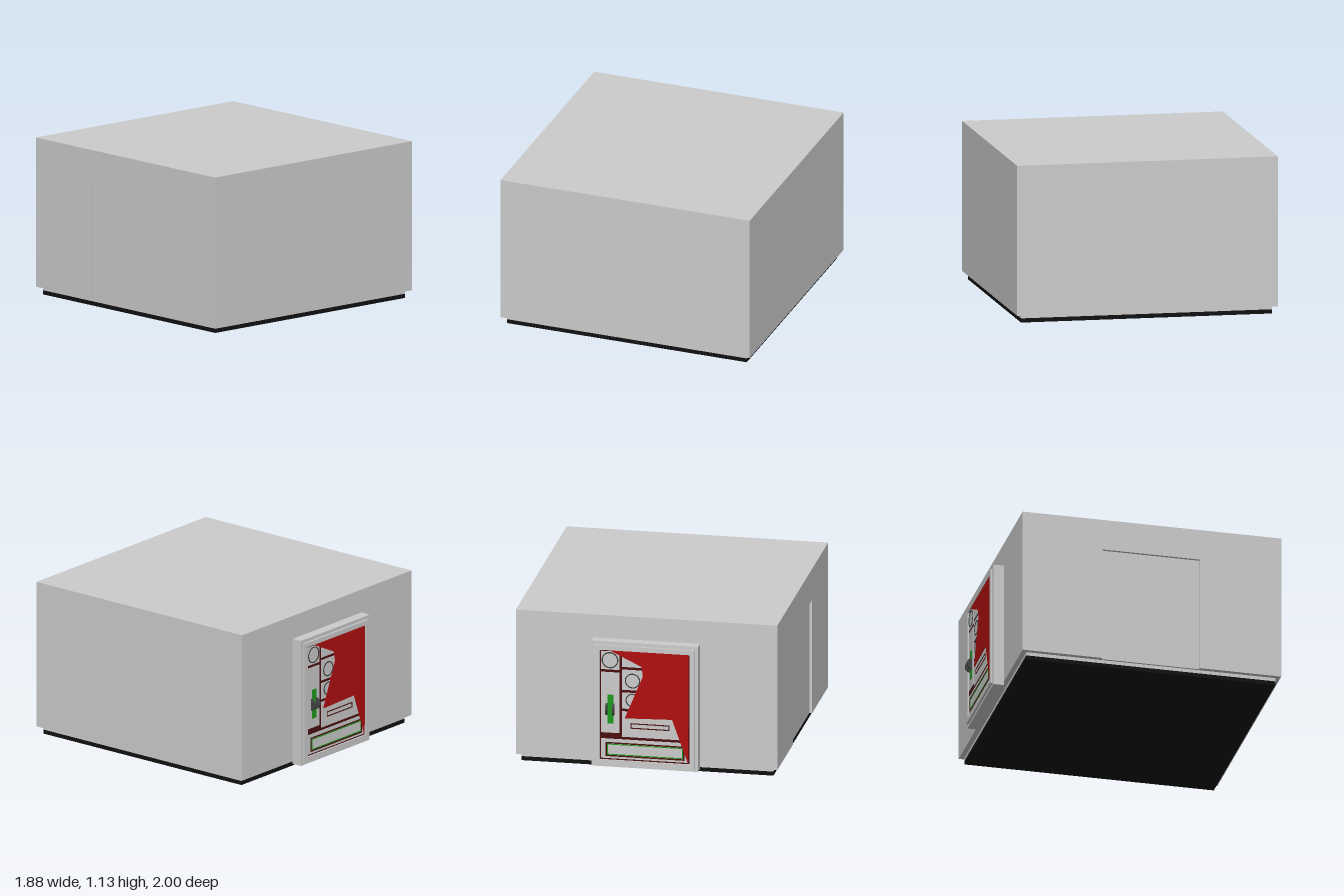
import * as THREE from 'three';

const mat = (color) => new THREE.MeshStandardMaterial({ color });
const grey = mat(0xcccccc), black = mat(0x111111), red = mat(0xb01010);
const maroon = mat(0x4a1010), green = mat(0x1c9a1c), dark = mat(0x444444);

function add(parent, name, geometry, material) {
  const mesh = new THREE.Mesh(geometry, material);
  mesh.name = name;
  parent.add(mesh);
  return mesh;
}

// Box given by its limits on each axis
function box(parent, name, [x0, x1], [y0, y1], [z0, z1], material = grey) {
  const mesh = add(parent, name, new THREE.BoxGeometry(x1 - x0, y1 - y0, z1 - z0), material);
  mesh.position.set((x0 + x1) / 2, (y0 + y1) / 2, (z0 + z1) / 2);
  return mesh;
}

const polygon = (pts) => new THREE.Shape(pts.map(([x, y]) => new THREE.Vector2(x, y)));
const rect = (x0, x1, y0, y1) => polygon([[x0, y0], [x1, y0], [x1, y1], [x0, y1]]);

// Flat plate between two depths
function plate(parent, name, shape, z0, z1, material = grey) {
  const geometry = new THREE.ExtrudeGeometry(shape, { depth: z1 - z0, bevelEnabled: false, curveSegments: 24 });
  const mesh = add(parent, name, geometry, material);
  mesh.position.z = z0;
  return mesh;
}

function border(parent, name, [x0, x1], [y0, y1], width, z0, z1, material) {
  const shape = rect(x0, x1, y0, y1);
  shape.holes.push(rect(x0 + width, x1 - width, y0 + width, y1 - width));
  return plate(parent, name, shape, z0, z1, material);
}

function createDoor() {
  const door = new THREE.Group();
  door.name = 'door';

  // Surround, raised rim and sunken backing
  box(door, 'doorSurround', [-0.38, 0.385], [0.03, 0.96], [0, 0.075]);
  border(door, 'doorRim', [-0.355, 0.36], [0.05, 0.935], 0.035, 0.07, 0.09);
  box(door, 'doorBacking', [-0.33, 0.33], [0.08, 0.905], [0.06, 0.078], maroon);

  // Light panels leaving dark dividing bars between them
  const panels = [
    [-0.31, -0.18, 0.755, 0.89],
    [-0.31, -0.18, 0.285, 0.735],
    [-0.16, 0.31, 0.78, 0.89],
    [-0.16, -0.01, 0.61, 0.76],
    [-0.16, -0.01, 0.47, 0.59],
    [-0.16, 0.31, 0.26, 0.45],
    [-0.31, 0.31, 0.095, 0.24],
  ];
  panels.forEach(([x0, x1, y0, y1]) => box(door, 'panel', [x0, x1], [y0, y1], [0.07, 0.082]));

  // Round dials
  [[-0.247, 0.825, 0.06], [-0.085, 0.68, 0.055], [-0.085, 0.535, 0.05]].forEach(([x, y, r]) => {
    const ring = new THREE.Shape().absarc(x, y, r, 0, Math.PI * 2);
    ring.holes.push(new THREE.Path().absarc(x, y, r - 0.008, 0, Math.PI * 2));
    plate(door, 'dialRing', ring, 0.08, 0.085, dark);
  });

  // Slot and framed lower panel
  border(door, 'slot', [-0.1, 0.18], [0.325, 0.365], 0.007, 0.08, 0.085, maroon);
  border(door, 'lowerOutline', [-0.28, 0.29], [0.11, 0.215], 0.01, 0.08, 0.084, maroon);
  border(door, 'lowerInlay', [-0.268, 0.278], [0.122, 0.203], 0.006, 0.08, 0.085, green);

  // Large angular red facing
  const facing = polygon([
    [-0.25, 0.9], [-0.02, 0.79], [-0.01, 0.72], [-0.14, 0.4],
    [0.2, 0.41], [0.315, 0.09], [0.32, 0.9],
  ]);
  plate(door, 'redFacing', facing, 0.078, 0.087, red);

  // Handle: green plate with two thin discs
  box(door, 'handlePlate', [-0.265, -0.22], [0.354, 0.568], [0.08, 0.086], green);
  [-0.27, -0.22].forEach((x) => {
    const disc = add(door, 'handleDisc', new THREE.CylinderGeometry(0.045, 0.045, 0.014, 24), dark);
    disc.rotation.z = Math.PI / 2;
    disc.position.set(x, 0.46, 0.075);
  });

  // Turn the door to face the back
  door.rotation.y = Math.PI;
  door.position.z = -0.88;
  return door;
}

export function createModel() {
  const model = new THREE.Group();
  model.name = 'blockBuilding';

  // Foundation and the set-back strip above it
  box(model, 'foundation', [-0.905, 0.905], [0, 0.03], [-0.845, 0.965], black);
  box(model, 'strip', [-0.905, 0.905], [0.03, 0.055], [-0.845, 0.965]);

  // Body, with a side skin cut out to leave a shallow doorway
  box(model, 'body', [-0.92, 0.94], [0.055, 1.13], [-0.88, 1]);
  const skin = polygon([
    [-0.88, 0.055], [-0.3, 0.055], [-0.3, 0.9], [0.41, 0.9],
    [0.41, 0.055], [1, 0.055], [1, 1.13], [-0.88, 1.13],
  ]);
  const side = plate(model, 'recessedSide', skin, 0, 0.02);
  side.rotation.y = -Math.PI / 2;
  side.position.x = -0.92;

  model.add(createDoor());
  return model;
}
